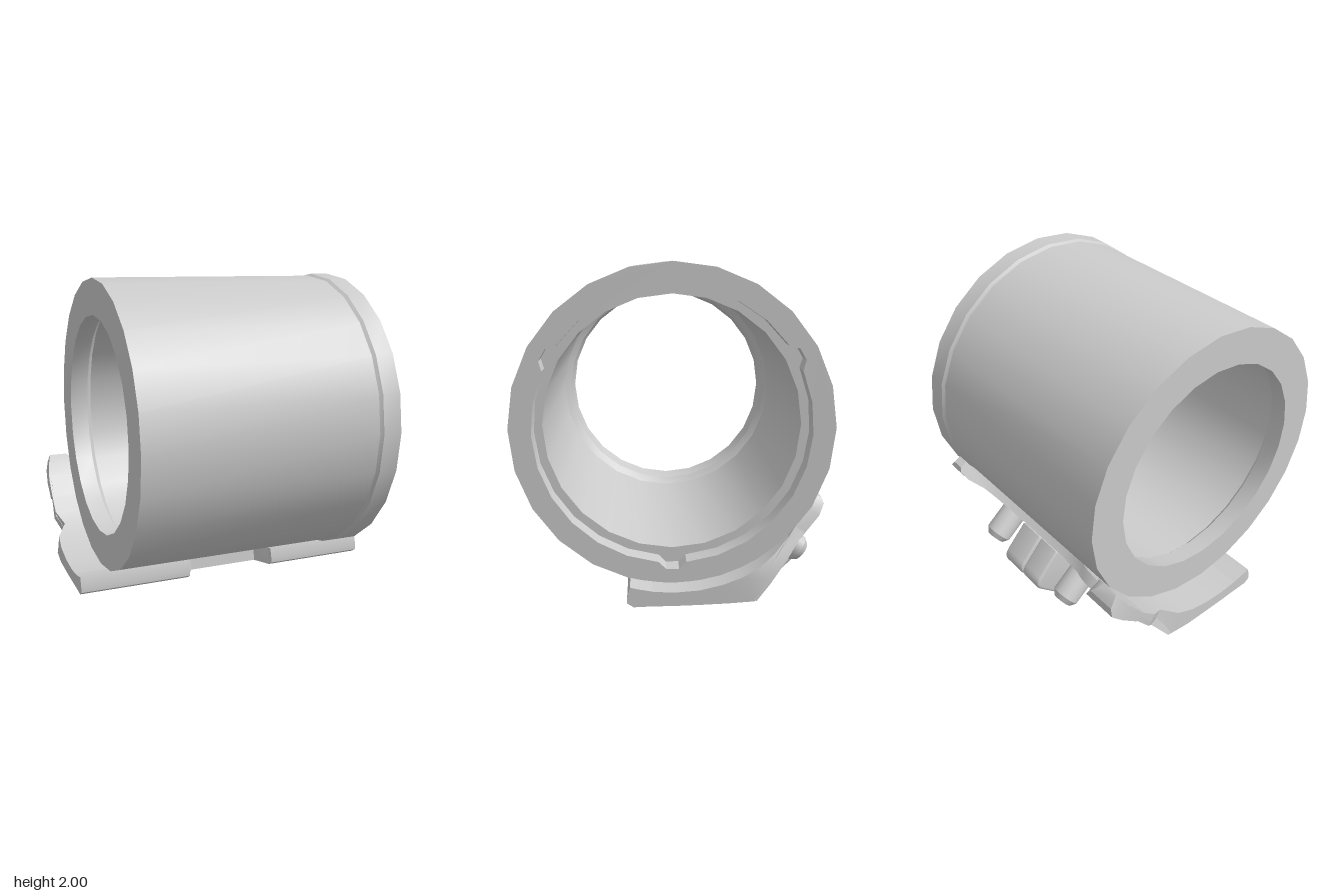
import * as THREE from 'three';
import { toCreasedNormals } from 'three/addons/utils/BufferGeometryUtils.js';

const AXIS_Y = 1.12; // height of the tube axis
const SIDES = 24;
const material = new THREE.MeshStandardMaterial({ color: 0xcccccc });

function addMesh(parent, name, geometry, crease = 0.5) {
  const mesh = new THREE.Mesh(toCreasedNormals(geometry, crease), material);
  mesh.name = name;
  parent.add(mesh);
  return mesh;
}

const toShape = (pts) => new THREE.Shape(pts.map(([x, y]) => new THREE.Vector2(x, y)));

// Solid swept around the tube: each station is [z, y, xMin, xMax] on the outside;
// the inside hugs the tube wall.
function saddle(stations) {
  const pos = [];
  stations.forEach(([z, y, x0, x1]) => {
    const k = 0.875 / Math.hypot(z, y - AXIS_Y);
    const iz = z * k, iy = AXIS_Y + (y - AXIS_Y) * k;
    pos.push(x0, iy, iz, x1, iy, iz, x1, y, z, x0, y, z);
  });
  const last = (stations.length - 1) * 4;
  const index = [0, 3, 2, 0, 2, 1, last, last + 1, last + 2, last, last + 2, last + 3];
  for (let i = 0; i < last; i += 4) {
    for (let j = 0; j < 4; j++) {
      const a = i + j, b = i + (j + 1) % 4;
      index.push(a, b, b + 4, a, b + 4, a + 4);
    }
  }
  const g = new THREE.BufferGeometry();
  g.setAttribute('position', new THREE.Float32BufferAttribute(pos, 3));
  g.setIndex(index);
  return g;
}

function addTube(parent) {
  // Main barrel with a chamfered shoulder and a narrower lip at the far end
  const profile = [
    [0.655, -0.775], [0.868, -0.775], [0.868, 0.64], [0.88, 0.66],
    [0.71, 0.66], [0.71, -0.63], [0.67, -0.66], [0.655, -0.775],
  ].map(([r, x]) => new THREE.Vector2(r, x));
  const barrel = new THREE.LatheGeometry(profile, SIDES).rotateZ(-Math.PI / 2);
  addMesh(parent, 'barrel', barrel).position.y = AXIS_Y;

  // Mouth rim with three small key notches
  const ring = [], hole = [];
  for (let i = 0; i < SIDES; i++) {
    const a = (i / SIDES) * Math.PI * 2;
    ring.push([0.88 * Math.cos(a), 0.88 * Math.sin(a)]);
  }
  for (let k = 0; k < 3; k++) {
    const centre = -Math.PI / 2 + (k * Math.PI * 2) / 3;
    const add = (d, r) => hole.push(new THREE.Vector2(r * Math.cos(centre + d), r * Math.sin(centre + d)));
    add(-0.1, 0.757); add(-0.045, 0.795); add(0.045, 0.795); add(0.1, 0.757);
    for (let i = 1; i < 8; i++) add(0.1 + (i / 8) * (Math.PI * 2 / 3 - 0.2), 0.757);
  }
  const shape = toShape(ring);
  shape.holes.push(new THREE.Path(hole));
  const rim = new THREE.ExtrudeGeometry(shape, { depth: 0.115, bevelEnabled: false }).rotateY(Math.PI / 2);
  addMesh(parent, 'mouthRim', rim).position.set(0.66, AXIS_Y, 0);
}

function addBracket(parent) {
  // Underside plate and the wedge behind the slanted plate
  addMesh(parent, 'basePlate', saddle([
    [0.12, 0.167, -0.96, 0.91], [0, 0.168, -0.96, 0.91], [-0.15, 0.173, -0.96, 0.91],
    [-0.3, 0.18, -0.96, 0.91], [-0.44, 0.19, -0.95, 0.91], [-0.51, 0.31, -0.89, 0.9],
    [-0.58, 0.4, -0.93, 0.86], [-0.67, 0.52, -0.93, 0.79],
  ]), 0.3);
  // Front feet on both sides of the gap
  [[-0.96, -0.96, -0.28, -0.22], [0.91, 0.91, 0.28, 0.22]].forEach(([e0, e1, front, back]) => {
    const foot = [[0.25, 0.22, front], [0.25, 0.185, front], [0.215, 0.163, front], [0.12, 0.167, back]]
      .map(([z, y, x]) => [z, y, Math.min(e0, x), Math.max(e1, x)]);
    addMesh(parent, 'frontFoot', saddle(foot), 0.3);
  });
  // Tall curved ear past the closed end, and a small ear at the mouth
  addMesh(parent, 'tallEar', saddle([
    [-0.69, 0.49, -0.93, -0.66], [-0.79, 0.58, -0.93, -0.68],
    [-0.86, 0.65, -0.92, -0.7], [-0.86, 0.71, -0.91, -0.74], [-0.82, 0.765, -0.9, -0.79],
  ]), 0.6);
  addMesh(parent, 'smallEar', saddle([
    [-0.7, 0.5, 0.5, 0.79], [-0.81, 0.62, 0.58, 0.75], [-0.84, 0.68, 0.61, 0.72], [-0.83, 0.71, 0.62, 0.7],
  ]), 0.6);

  // Slanted plate, drawn flat as (x, distance up from the fold)
  const slant = new THREE.Group();
  slant.name = 'slantedSide';
  slant.position.set(0, 0.19, -0.45);
  slant.rotation.x = -0.67;
  parent.add(slant);
  const outline = toShape([
    [-0.95, 0], [0.91, 0], [0.9, 0.12], [0.86, 0.27], [0.79, 0.41], [0.73, 0.59], [0.63, 0.6],
    [0.52, 0.5], [0.38, 0.45], [0.1, 0.42], [-0.3, 0.43], [-0.48, 0.49], [-0.6, 0.58],
    [-0.72, 0.62], [-0.91, 0.62], [-0.93, 0.24], [-0.89, 0.14],
  ]);
  for (const x of [-0.57, 0.53]) {
    outline.holes.push(new THREE.Path().absarc(x, 0.16, 0.045, 0, Math.PI * 2, true));
  }
  addMesh(slant, 'slantedPlate', new THREE.ExtrudeGeometry(outline, { depth: 0.06, bevelEnabled: false, curveSegments: 12 }));

  // Two chamfered studs standing off the slanted plate
  const studProfile = [[0.085, -0.03], [0.085, 0.19], [0.06, 0.225], [0, 0.225]]
    .map(([r, y]) => new THREE.Vector2(r, y));
  for (const x of [-0.37, 0.35]) {
    const stud = new THREE.LatheGeometry(studProfile, 16).rotateX(-Math.PI / 2);
    addMesh(slant, 'stud', stud).position.set(x, 0.27, 0);
  }
}

function addLug(parent) {
  // Rounded split lug; its profile is drawn as (-z, y)
  const s = new THREE.Shape();
  s.moveTo(0.44, 0.21);
  s.lineTo(0.485, 0.095);
  s.quadraticCurveTo(0.51, 0.015, 0.565, 0.015);
  s.quadraticCurveTo(0.625, 0.015, 0.665, 0.06);
  s.lineTo(0.79, 0.185);
  s.quadraticCurveTo(0.825, 0.225, 0.79, 0.265);
  s.lineTo(0.66, 0.4);
  s.lineTo(0.5, 0.3);
  for (const [x0, x1] of [[-0.155, 0.008], [0.018, 0.2]]) {
    const g = new THREE.ExtrudeGeometry(s, {
      depth: x1 - x0 - 0.03, bevelThickness: 0.015, bevelSize: 0.015, bevelSegments: 2, curveSegments: 6,
    }).rotateY(Math.PI / 2);
    addMesh(parent, 'lugHalf', g, 0.8).position.x = x0 + 0.015;
  }
}

export function createModel() {
  const model = new THREE.Group();
  model.name = 'tubeWithBracket';
  // The whole assembly is turned slightly about the vertical
  const body = new THREE.Group();
  body.name = 'body';
  body.rotation.y = -0.042;
  body.position.set(0.02, 0, -0.005);
  model.add(body);
  addTube(body);
  addBracket(body);
  addLug(body);
  return model;
}
